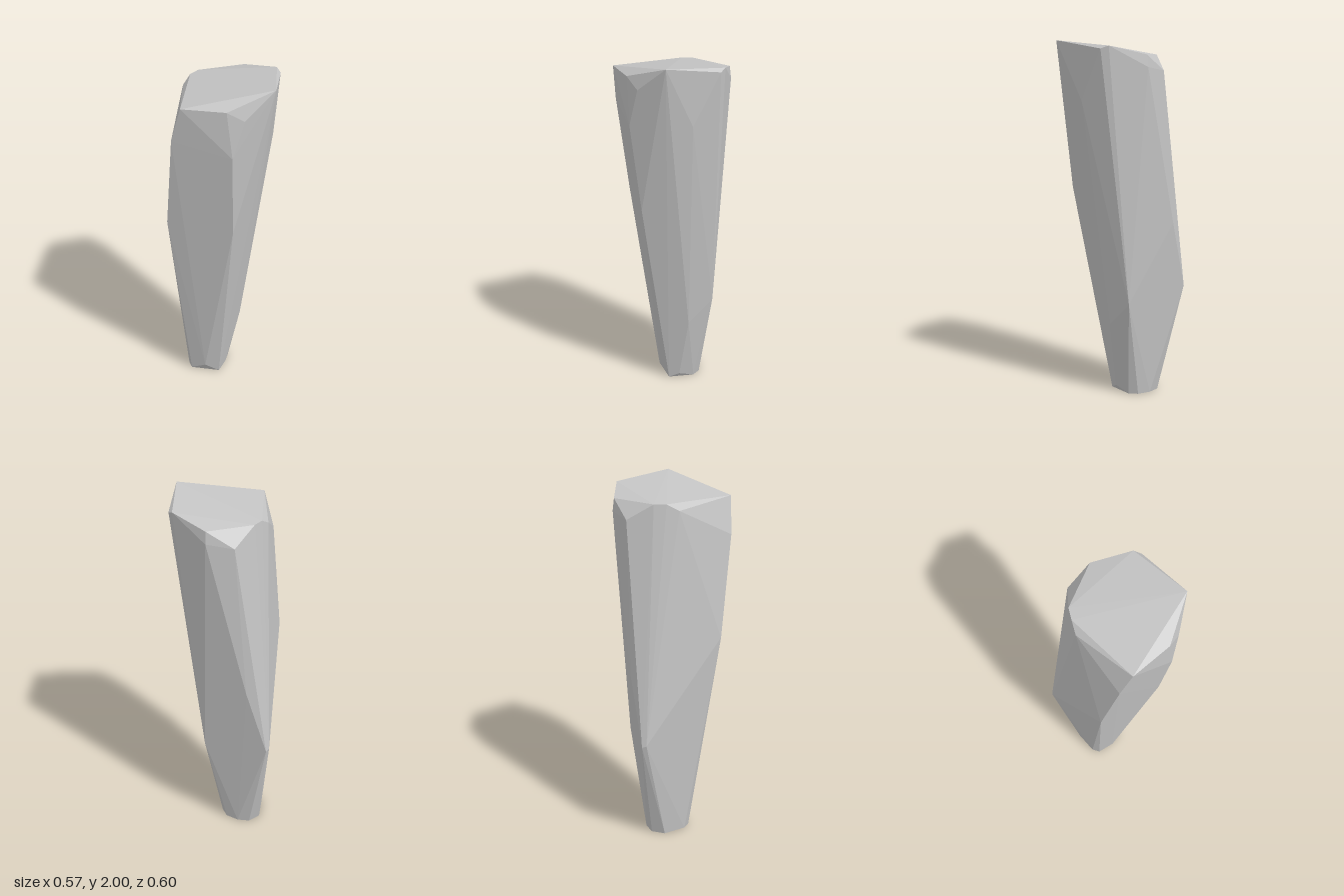
import * as THREE from 'three';
import { ConvexGeometry } from 'three/addons/geometries/ConvexGeometry.js';

export function createModel() {
  const group = new THREE.Group();
  group.name = 'rockSpire';
  const stone = new THREE.MeshStandardMaterial({ color: 0xc4c4c4, flatShading: true });
  stone.name = 'stone grey';

  // slanted crown
  const crown = [
    [0.283, 2, 0.167], [0.245, 1.97, -0.17], [0.27, 1.955, -0.135],
    [-0.17, 1.925, 0.298], [0.06, 1.925, 0.298], [0.06, 1.925, -0.276],
    [-0.17, 1.925, -0.163], [-0.2, 1.925, -0.105], [-0.227, 1.89, -0.045],
    [0.145, 1.87, 0.27], [0.06, 1.86, -0.285], [-0.085, 1.84, -0.278],
  ];
  // broad shoulders
  const shoulders = [
    [-0.227, 1.73, 0.27], [0.09, 1.67, 0.298], [0.257, 1.68, 0.01],
    [-0.285, 1.18, 0.185], [0.085, 1.18, 0.237], [-0.155, 1.0, -0.3],
  ];
  // lower bulge on the back and sides
  const bulge = [
    [-0.285, 0.63, -0.275], [-0.27, 0.62, -0.295],
    [0.093, 0.56, -0.185], [0.085, 0.42, -0.04],
  ];
  // narrow foot
  const foot = [
    [-0.11, 0.06, 0.07], [0, 0.03, -0.015],
    [-0.2, 0, 0.04], [-0.03, 0, 0.04], [0, 0, -0.107], [-0.03, 0, -0.155],
    [-0.1, 0, -0.185], [-0.17, 0, -0.185], [-0.225, 0, -0.13], [-0.225, 0, 0],
  ];

  const points = [...crown, ...shoulders, ...bulge, ...foot].map((p) => new THREE.Vector3(...p));
  const rock = new THREE.Mesh(new ConvexGeometry(points), stone);
  rock.name = 'rock';
  group.add(rock);
  return group;
}
